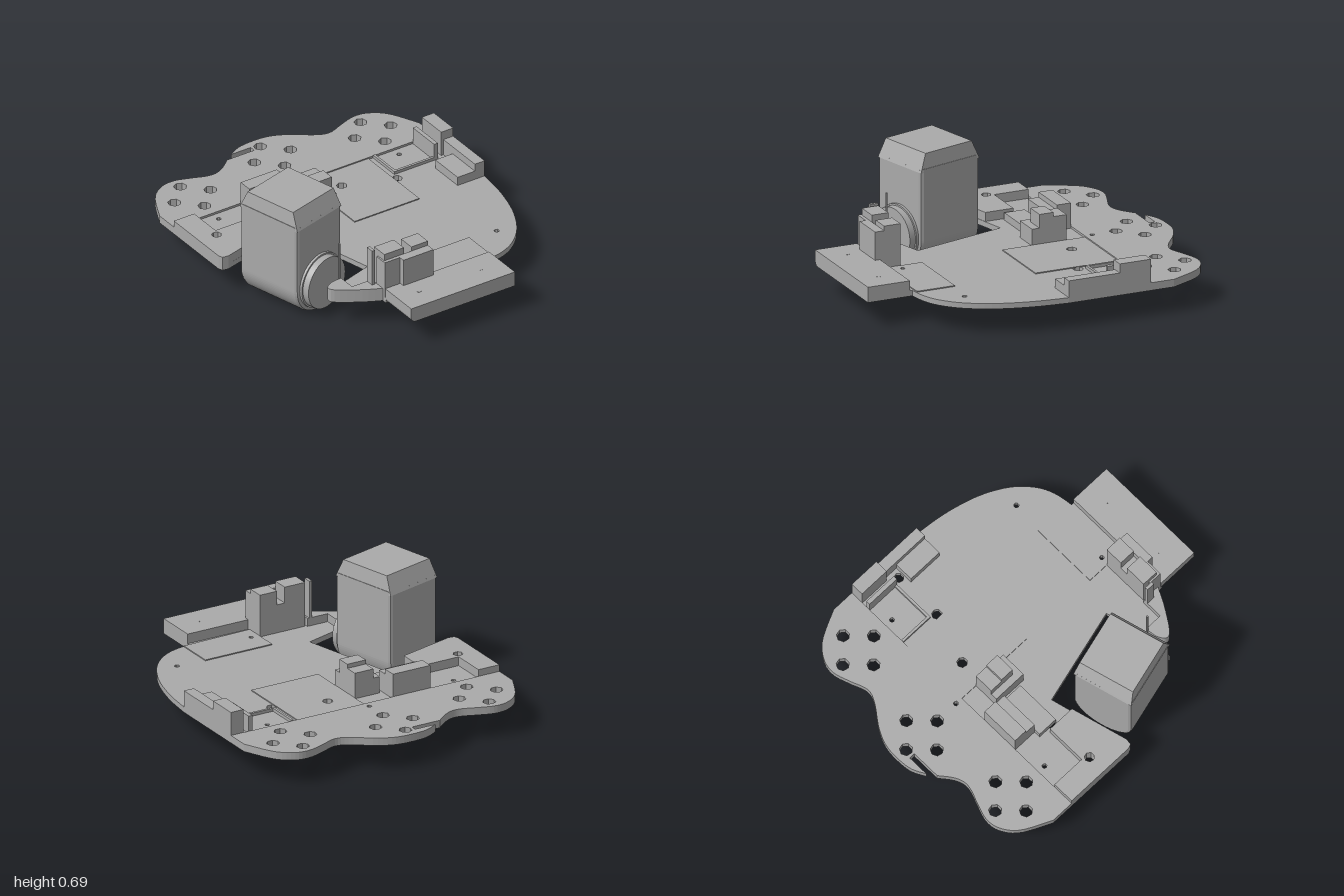
import * as THREE from 'three';

const grey = new THREE.MeshStandardMaterial({ color: 0xaaaaaa });
grey.name = 'plain grey';

// Holes as [x, z, radius]
const lobeHoles = [];
for (const [cx, cz] of [[-0.6, -0.71], [0, -0.81], [0.6, -0.71]])
  for (const [dx, dz] of [[-0.12, 0], [0.12, 0], [0, -0.12], [0, 0.12]])
    lobeHoles.push([cx + dx, cz + dz, 0.037]);
lobeHoles.push([0, -0.545, 0.014]);
const leftPadHoles = [[-0.75, -0.25, 0.028]];
const centreHoles = [[0.15, -0.35, 0.03]];
const frontHoles = [[0.05, 0.63, 0.013]];
const deckHoles = [...leftPadHoles, ...centreHoles, ...frontHoles,
  [-0.15, -0.35, 0.03], [-0.45, -0.25, 0.028], [0.45, -0.25, 0.03], [0.75, -0.25, 0.028],
  [-0.6, -0.45, 0.014], [0.6, -0.45, 0.014], [0.6, 0.51, 0.015]];

const vec = ([x, z]) => new THREE.Vector2(x, -z);
const smooth = (pts, n) => new THREE.SplineCurve(pts.map(vec)).getPoints(n).map(p => [p.x, -p.y]);

export function createModel() {
  const model = new THREE.Group();

  const add = (name, geometry, parent = model) => {
    const mesh = new THREE.Mesh(geometry, grey);
    mesh.name = name;
    parent.add(mesh);
    return mesh;
  };

  // Flat slab from a ground outline of [x, z], between two heights
  const slab = (name, outline, y0, y1, holes = []) => {
    const shape = new THREE.Shape(outline.map(vec));
    for (const [x, z, r] of holes) {
      const ring = [];
      for (let i = 0; i < 7; i++) {
        const a = -i * Math.PI * 2 / 7;
        ring.push(new THREE.Vector2(x + r * Math.sin(a), -z + r * Math.cos(a)));
      }
      shape.holes.push(new THREE.Path(ring));
    }
    const g = new THREE.ExtrudeGeometry(shape, { depth: y1 - y0, bevelEnabled: false });
    g.rotateX(-Math.PI / 2).translate(0, y0, 0);
    return add(name, g);
  };

  const box = (name, x0, x1, y0, y1, z0, z1) => {
    const g = new THREE.BoxGeometry(x1 - x0, y1 - y0, z1 - z0);
    g.translate((x0 + x1) / 2, (y0 + y1) / 2, (z0 + z1) / 2);
    return add(name, g);
  };

  // Rear plate with three lobes and a narrow slit
  const lobesLeft = smooth([[-0.865, -0.64], [-0.78, -0.81], [-0.69, -0.885], [-0.6, -0.9],
    [-0.5, -0.87], [-0.42, -0.84], [-0.36, -0.835], [-0.3, -0.86], [-0.23, -0.915]], 36);
  const lobesRight = smooth([[-0.18, -0.95], [-0.1, -0.99], [0, -1], [0.1, -0.99], [0.2, -0.945],
    [0.32, -0.86], [0.4, -0.835], [0.5, -0.87], [0.6, -0.9], [0.69, -0.885], [0.78, -0.81],
    [0.865, -0.64]], 48);
  slab('rearLobedPlate', [[-0.865, -0.5], ...lobesLeft, [-0.05, -0.915], [-0.05, -0.95],
    ...lobesRight, [0.865, -0.5]], 0.15, 0.195, lobeHoles);

  // Main deck with the side cut-out for the pod
  const rightEdge = smooth([[0.865, 0], [0.84, 0.2], [0.785, 0.4], [0.7, 0.56], [0.6, 0.66],
    [0.5, 0.71], [0.39, 0.73]], 28);
  const tip = smooth([[-0.3, 0.72], [-0.4, 0.67], [-0.53, 0.585], [-0.545, 0.54], [-0.5, 0.51]], 16);
  slab('mainDeck', [[-0.865, -0.5], [0.865, -0.5], ...rightEdge, [0.39, 0.75], [-0.3, 0.75], ...tip,
    [-0.2, 0.42], [-0.35, -0.15], [-0.82, -0.03], [-0.855, -0.035], [-0.865, -0.06]],
    0.15, 0.182, deckHoles);

  // Slightly raised deck panels
  slab('centrePanel', [[0, -0.5], [0.43, -0.5], [0.43, 0], [0, 0]], 0.182, 0.188, centreHoles);
  slab('frontPanel', [[0, 0.49], [0.43, 0.49], [0.43, 0.72], [0, 0.73]], 0.182, 0.188, frontHoles);

  // Side pad, stepped around a pocket
  slab('sidePad', [[-0.865, -0.5], [-0.73, -0.5], [-0.73, -0.29], [-0.48, -0.29], [-0.48, -0.12],
    [-0.82, -0.03], [-0.855, -0.035], [-0.865, -0.06]], 0.182, 0.235, leftPadHoles);
  slab('tipPad', [...tip, [-0.43, 0.5], [-0.43, 0.61], [-0.3, 0.61]], 0.182, 0.23);
  box('tipPin', -0.445, -0.435, 0.18, 0.455, 0.495, 0.505);

  // Front block with a rounded lower corner
  const profile = new THREE.Shape();
  profile.moveTo(-0.3, 0.24).lineTo(-0.3, 0.18).quadraticCurveTo(-0.295, 0.15, -0.265, 0.15)
    .lineTo(0.39, 0.15).lineTo(0.39, 0.24);
  add('frontBlock', new THREE.ExtrudeGeometry(profile, { depth: 0.255, bevelEnabled: false })
    .translate(0, 0, 0.745));
  for (const x of [-0.16, 0.25])
    add('frontBlockHole', new THREE.CylinderGeometry(0.013, 0.013, 0.002, 7).translate(x, 0.24, 0.87));

  // Front connector
  box('connectorFace', -0.2, 0, 0.18, 0.405, 0.72, 0.775);
  box('connectorSide', -0.3, -0.2, 0.18, 0.405, 0.66, 0.74);
  box('connectorPost', -0.29, -0.16, 0.18, 0.445, 0.62, 0.72);
  box('connectorPost', -0.11, 0, 0.18, 0.432, 0.62, 0.72);
  box('connectorBase', -0.16, -0.11, 0.18, 0.35, 0.62, 0.72);
  box('connectorFin', -0.33, -0.312, 0.18, 0.45, 0.61, 0.66);

  // Inner rear connector
  box('innerBlock', -0.42, -0.18, 0.18, 0.33, -0.5, -0.415);
  box('innerBlockStep', -0.42, -0.18, 0.18, 0.3, -0.415, -0.35);
  box('innerShelf', -0.46, -0.18, 0.18, 0.225, -0.35, -0.225);
  box('innerHumpBase', -0.16, 0, 0.18, 0.28, -0.39, -0.18);
  box('innerHump', -0.12, 0, 0.28, 0.335, -0.39, -0.31);
  box('innerHumpTop', -0.12, 0, 0.28, 0.36, -0.31, -0.225);

  // Outer rear connector
  box('outerBase', 0.685, 0.8, 0.18, 0.235, -0.22, 0);
  box('outerRail', 0.8, 0.865, 0.18, 0.28, -0.31, 0);
  box('outerTower', 0.785, 0.865, 0.18, 0.333, -0.5, -0.31);
  box('outerWall', 0.725, 0.75, 0.18, 0.285, -0.5, -0.29);
  box('outerLedge', 0.46, 0.475, 0.18, 0.2, -0.5, -0.29);
  box('outerLedge', 0.475, 0.725, 0.18, 0.2, -0.305, -0.29);

  // Tilted pod: round bottom, straight sides, chamfered cap
  const pod = new THREE.Group();
  pod.name = 'pod';
  pod.position.set(-0.555, 0, 0.19);
  pod.rotation.y = Math.PI / 12;
  model.add(pod);

  const b = 0.02, r = 0.185 - b;
  const section = new THREE.Shape();
  section.moveTo(r, 0.6 - b).lineTo(-r, 0.6 - b).lineTo(-r, 0.185)
    .absarc(0, 0.185, r, Math.PI, Math.PI * 2, false);
  add('podBody', new THREE.ExtrudeGeometry(section, {
    depth: 0.38, bevelThickness: b, bevelSize: b, bevelSegments: 2, curveSegments: 24,
  }).translate(0, 0, -0.19), pod);

  const cap = new THREE.BoxGeometry(0.37, 0.105, 0.42).translate(0, 0.6325, 0);
  const p = cap.attributes.position;
  for (let i = 0; i < p.count; i++)
    if (p.getY(i) > 0.65) {
      p.setX(i, p.getX(i) * 0.92);
      p.setZ(i, p.getZ(i) * 0.79);
    }
  cap.computeVertexNormals();
  add('podCap', cap, pod);

  // Round end plate of the pod, in two steps
  for (const [radius, z0, z1] of [[0.165, 0.2, 0.225], [0.155, 0.225, 0.265]])
    add('podDisc', new THREE.CylinderGeometry(radius, radius, z1 - z0, 40)
      .rotateX(Math.PI / 2).translate(0, 0.19, (z0 + z1) / 2), pod);

  return model;
}
